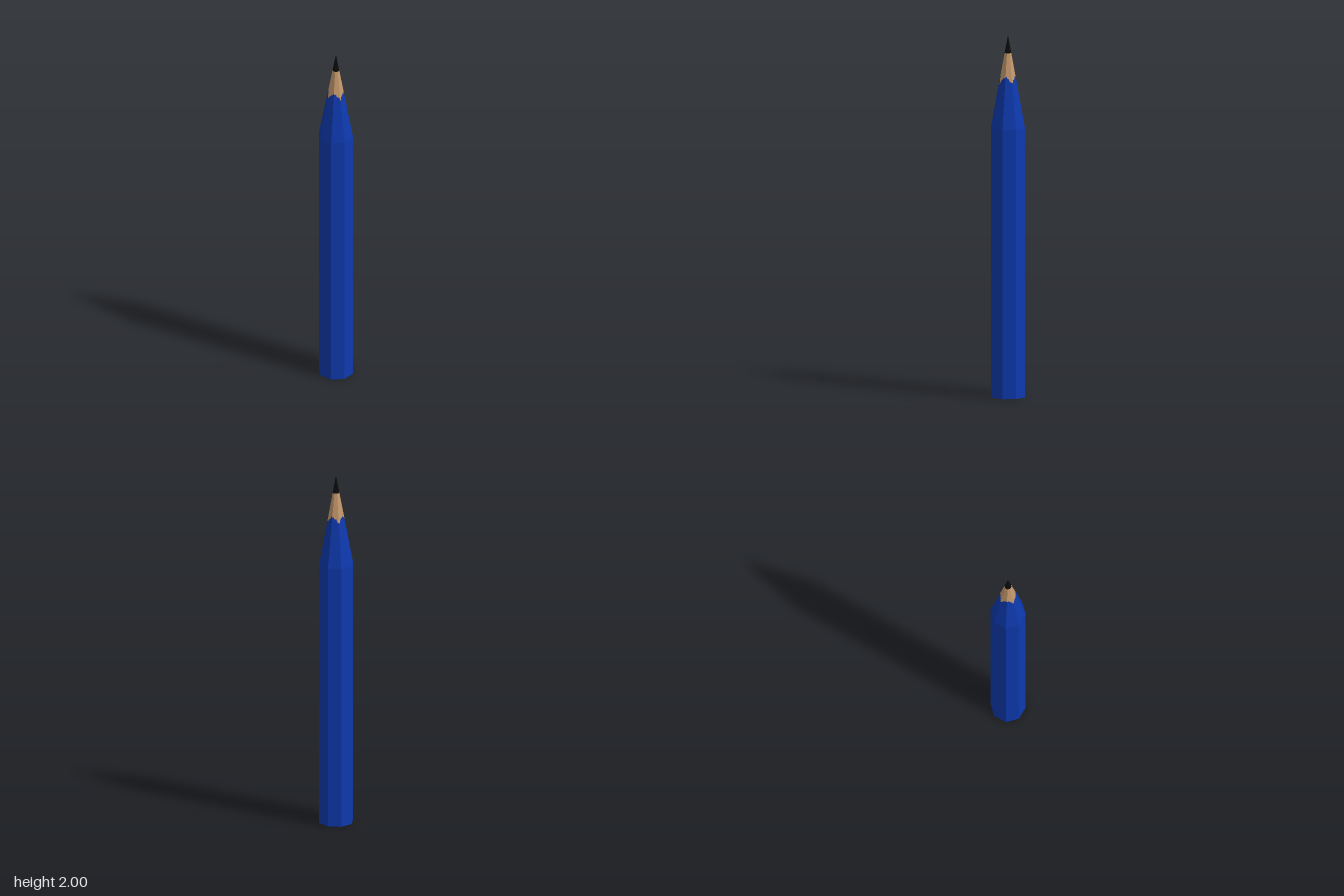
import * as THREE from 'three';

const SIDES = 8, STEPS = 6; // faces of the pencil, steps of the paint edge per face
const RADIUS = 0.097, SHOULDER = 1.49, TIP = 2, LEAD = 1.9;

// radius of the sharpened cone at a height
const coneRadius = y => RADIUS * (TIP - y) / (TIP - SHOULDER);

// point on the eight-sided cone at step i around it
function conePoint(i, y) {
  const side = Math.floor(i / STEPS), t = (i % STEPS) / STEPS, r = coneRadius(y);
  const a = side * 2 * Math.PI / SIDES, b = (side + 1) * 2 * Math.PI / SIDES;
  return [
    r * THREE.MathUtils.lerp(Math.sin(a), Math.sin(b), t), y,
    r * THREE.MathUtils.lerp(Math.cos(a), Math.cos(b), t),
  ];
}

// ragged paint edge: dips at the four axis corners, with small chips
function paintEdge(i) {
  const k = i % (SIDES * STEPS);
  const wave = Math.abs(Math.sin(k * 4 * Math.PI / (SIDES * STEPS)));
  const wave2 = Math.abs(Math.sin(k * 2 * Math.PI / (SIDES * STEPS) * 2));
  const chip = ((k * 7) % 5 - 2) * 0.003;
  return 1.735 + 0.035 * Math.min(wave, wave2) + chip;
}

const flat = geometry => {
  const g = geometry.index ? geometry.toNonIndexed() : geometry;
  g.computeVertexNormals();
  return g;
};

// strip of the cone between two height rules
function coneBand(low, high) {
  const points = [];
  for (let i = 0; i < SIDES * STEPS; i++) {
    const a = conePoint(i, low(i)), b = conePoint(i + 1, low(i + 1));
    const c = conePoint(i + 1, high(i + 1)), d = conePoint(i, high(i));
    points.push(...a, ...b, ...c, ...a, ...c, ...d);
  }
  const g = new THREE.BufferGeometry();
  g.setAttribute('position', new THREE.Float32BufferAttribute(points, 3));
  return flat(g);
}

export function createModel() {
  const paint = new THREE.MeshStandardMaterial({ color: 0x0e39ae });
  const wood = new THREE.MeshStandardMaterial({ color: 0xc4986c });
  const graphite = new THREE.MeshStandardMaterial({ color: 0x0b0b0c });
  paint.name = 'bluePaint';
  wood.name = 'bareWood';
  graphite.name = 'graphite';

  const model = new THREE.Group();
  model.name = 'pencil';
  const add = (name, geometry, material, y = 0) => {
    const mesh = new THREE.Mesh(geometry, material);
    mesh.name = name;
    mesh.position.y = y;
    model.add(mesh);
  };

  // octagonal shaft with a flat base
  add('shaft', flat(new THREE.CylinderGeometry(RADIUS, RADIUS, SHOULDER, SIDES)), paint, SHOULDER / 2);
  // sharpened end: painted taper, bare wood, lead
  add('paintedTaper', coneBand(() => SHOULDER, paintEdge), paint);
  add('sharpenedWood', coneBand(paintEdge, () => LEAD), wood);
  add('leadTip', flat(new THREE.ConeGeometry(coneRadius(LEAD), TIP - LEAD, SIDES, 1, true)), graphite, (TIP + LEAD) / 2);
  return model;
}
